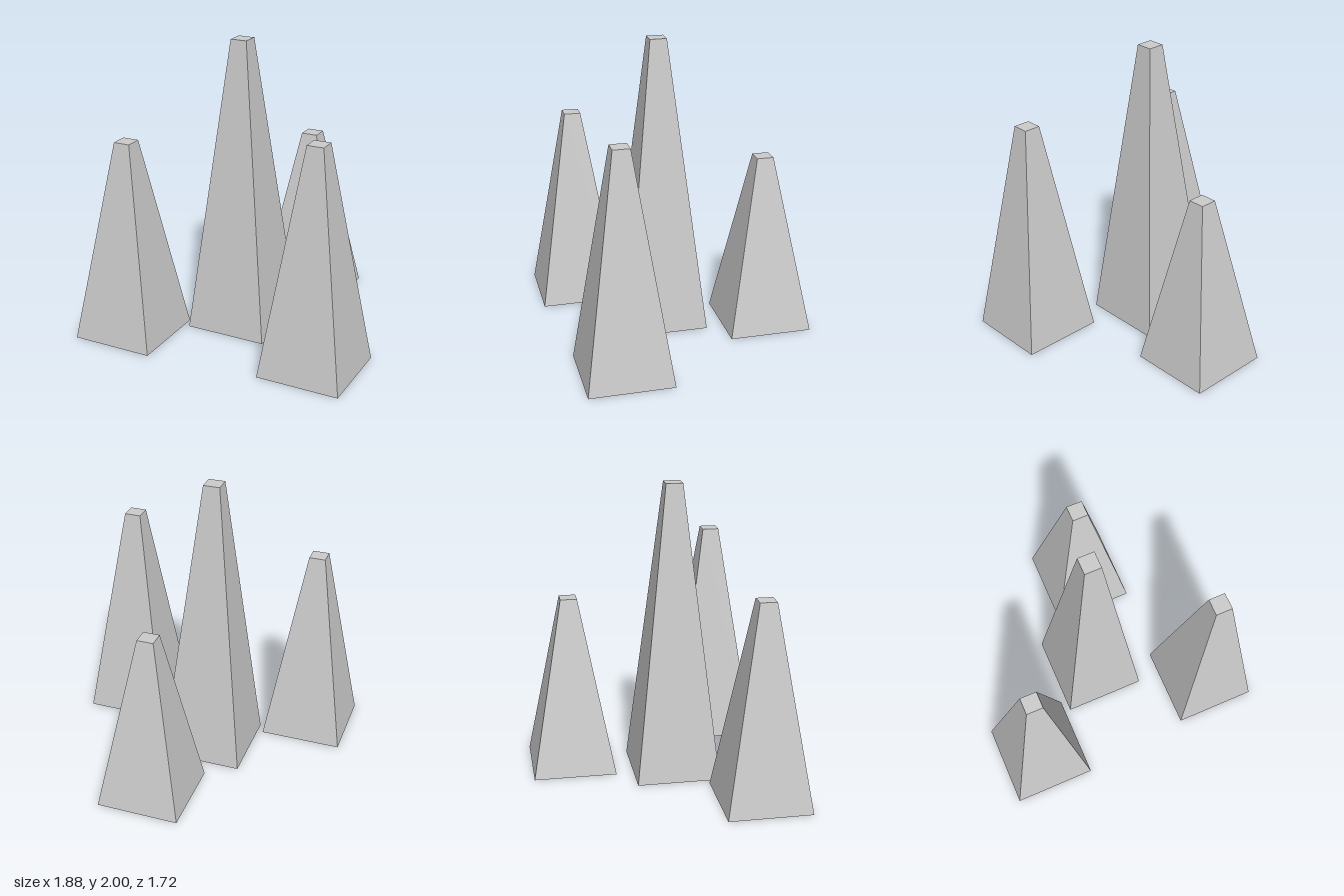
import * as THREE from 'three';

const BASE_HALF = 0.28;
const TOP_HALF = 0.056;

// [name, x, z, height]
const SPIRES = [
  ['tallSpire', -0.06, 0.10, 2.0],
  ['leftSpire', 0.66, 0.50, 1.52],
  ['rightSpire', -0.66, 0.58, 1.36],
  ['backSpire', 0.14, -0.58, 1.2],
];

// Square tapered shell: sloping sides and a flat top, open underneath
function spireGeometry(height) {
  const profile = [
    new THREE.Vector2(BASE_HALF * Math.SQRT2, 0),
    new THREE.Vector2(TOP_HALF * Math.SQRT2, height),
    new THREE.Vector2(0, height),
  ];
  return new THREE.LatheGeometry(profile, 4, Math.PI / 4);
}

export function createModel() {
  const group = new THREE.Group();
  group.name = 'spires';
  const material = new THREE.MeshStandardMaterial({
    color: 0xcccccc,
    flatShading: true,
    side: THREE.DoubleSide,
  });

  for (const [name, x, z, height] of SPIRES) {
    const spire = new THREE.Mesh(spireGeometry(height), material);
    spire.name = name;
    spire.position.set(x, 0, z);
    group.add(spire);
  }
  return group;
}
